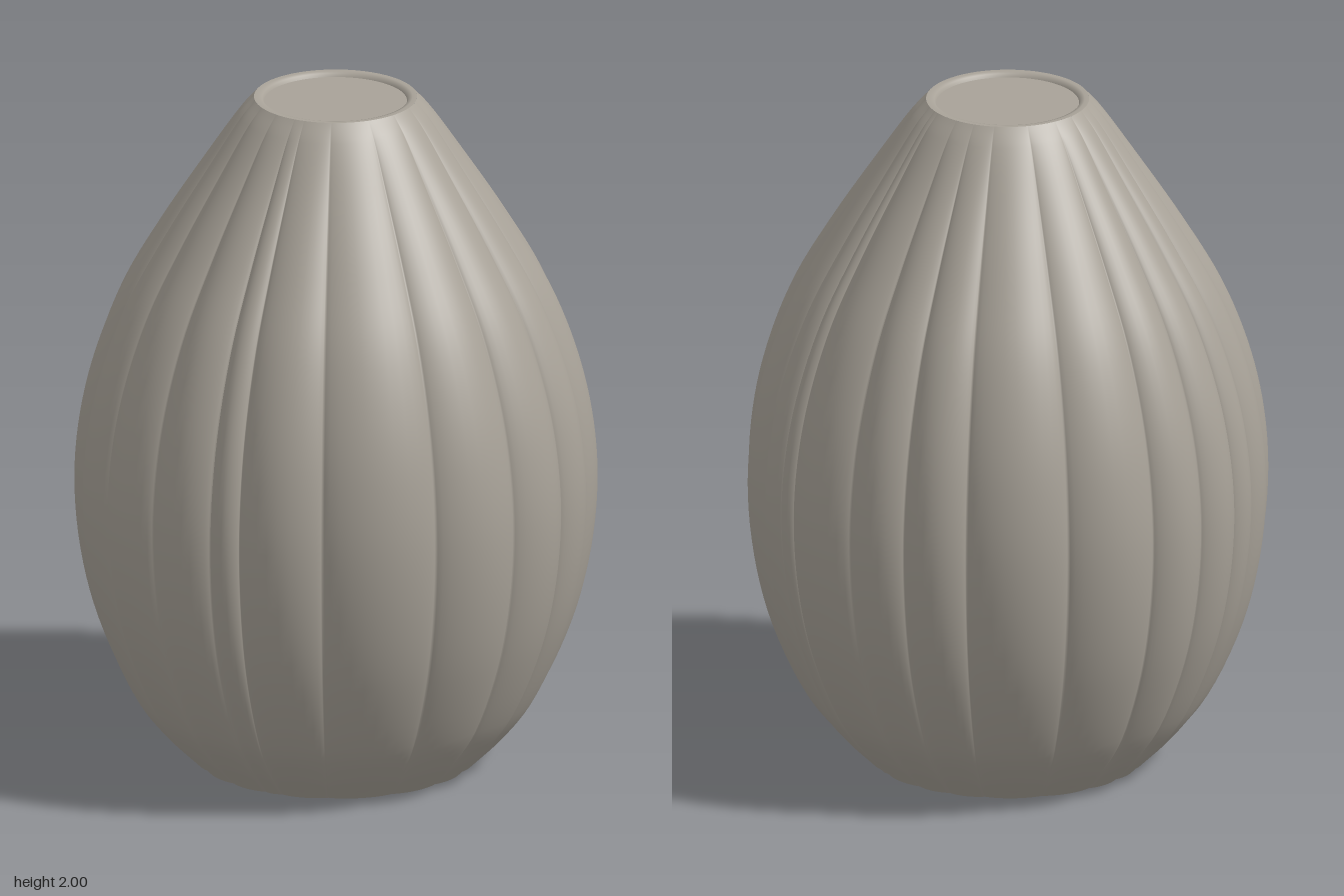
import * as THREE from 'three';

// groove positions (x, z) around the widest part, in order of angle from +x towards +z
const GROOVES = [
  [0.738, 0.028], [0.72, 0.09], [0.69, 0.205], [0.6, 0.4], [0.42, 0.59], [0.25, 0.68],
  [0.02, 0.735], [-0.25, 0.68], [-0.53, 0.495], [-0.67, 0.29], [-0.7, 0.2], [-0.74, -0.01],
  [-0.69, -0.24], [-0.6, -0.42], [-0.475, -0.55], [-0.38, -0.63], [-0.22, -0.7],
  [-0.03, -0.73], [0.24, -0.69], [0.5, -0.54], [0.62, -0.39], [0.69, -0.22],
];
// outer silhouette (radius, height)
const PROFILE = [
  [0.41, 0], [0.5, 0.09], [0.585, 0.2], [0.685, 0.42], [0.737, 0.63], [0.755, 0.85],
  [0.738, 1.05], [0.695, 1.23], [0.62, 1.42], [0.51, 1.61], [0.385, 1.8], [0.28, 1.95], [0.235, 2],
];
const STEPS = 12, ROWS = 60;

// angle and bulge (0 in a groove, 1 on a wide rib) for every column
function ribColumns() {
  const angles = GROOVES.map(([x, z]) => (Math.atan2(z, x) + Math.PI * 2) % (Math.PI * 2));
  const columns = [];
  angles.forEach((start, i) => {
    const end = i + 1 < angles.length ? angles[i + 1] : angles[0] + Math.PI * 2;
    const height = Math.min(1, 0.35 + (end - start) / 0.42);
    for (let s = 0; s < STEPS; s++) {
      const t = (1 - Math.cos((Math.PI * s) / STEPS)) / 2; // finer near the grooves
      columns.push({
        angle: start + (end - start) * t,
        bulge: height * Math.pow(Math.sin(Math.PI * t), 0.7),
      });
    }
  });
  return columns;
}

function ribbedBody(columns) {
  const curve = new THREE.CatmullRomCurve3(PROFILE.map(([r, y]) => new THREE.Vector3(r, y, 0)));
  const positions = [], index = [], n = columns.length;
  for (let j = 0; j <= ROWS; j++) {
    const { x: radius, y } = curve.getPoint(j / ROWS);
    // grooves are deepest at the belly, shallow at the foot and gone at the rim
    const depth = 0.038 * Math.pow(Math.max(0, Math.sin((Math.PI * (y + 0.12)) / 2.12)), 0.8);
    for (const { angle, bulge } of columns) {
      const r = radius - depth * (1 - bulge);
      positions.push(r * Math.cos(angle), y, r * Math.sin(angle));
    }
  }
  for (let j = 0; j < ROWS; j++) {
    for (let i = 0; i < n; i++) {
      const a = j * n + i, b = j * n + ((i + 1) % n);
      index.push(a, a + n, b, b, a + n, b + n);
    }
  }
  const geometry = new THREE.BufferGeometry();
  geometry.setAttribute('position', new THREE.Float32BufferAttribute(positions, 3));
  geometry.setIndex(index);
  geometry.computeVertexNormals();
  return geometry;
}

// flat foot that follows the scalloped lower edge
function footDisc(body, n) {
  const source = body.getAttribute('position');
  const positions = [0, 0, 0], index = [];
  for (let i = 0; i < n; i++) {
    positions.push(source.getX(i), 0, source.getZ(i));
    index.push(0, 1 + i, 1 + ((i + 1) % n));
  }
  const geometry = new THREE.BufferGeometry();
  geometry.setAttribute('position', new THREE.Float32BufferAttribute(positions, 3));
  geometry.setIndex(index);
  geometry.computeVertexNormals();
  return geometry;
}

export function createModel() {
  const group = new THREE.Group();
  group.name = 'ribbedVase';
  const clay = new THREE.MeshStandardMaterial({ color: 0xa8a298 });
  clay.name = 'warm grey clay';
  const add = (name, geometry) => {
    const mesh = new THREE.Mesh(geometry, clay);
    mesh.name = name;
    group.add(mesh);
    return mesh;
  };

  const columns = ribColumns();
  const body = ribbedBody(columns);
  add('body', body);
  add('foot', footDisc(body, columns.length));

  // rounded rim with a slightly sunken flat top
  const rim = [[0.235, 2], [0.222, 2], [0.211, 1.997], [0.206, 1.987]];
  add('rim', new THREE.LatheGeometry(rim.map(([r, y]) => new THREE.Vector2(r, y)), 96));
  const top = add('topDisc', new THREE.CircleGeometry(0.207, 96).rotateX(-Math.PI / 2));
  top.position.y = 1.987;
  return group;
}
